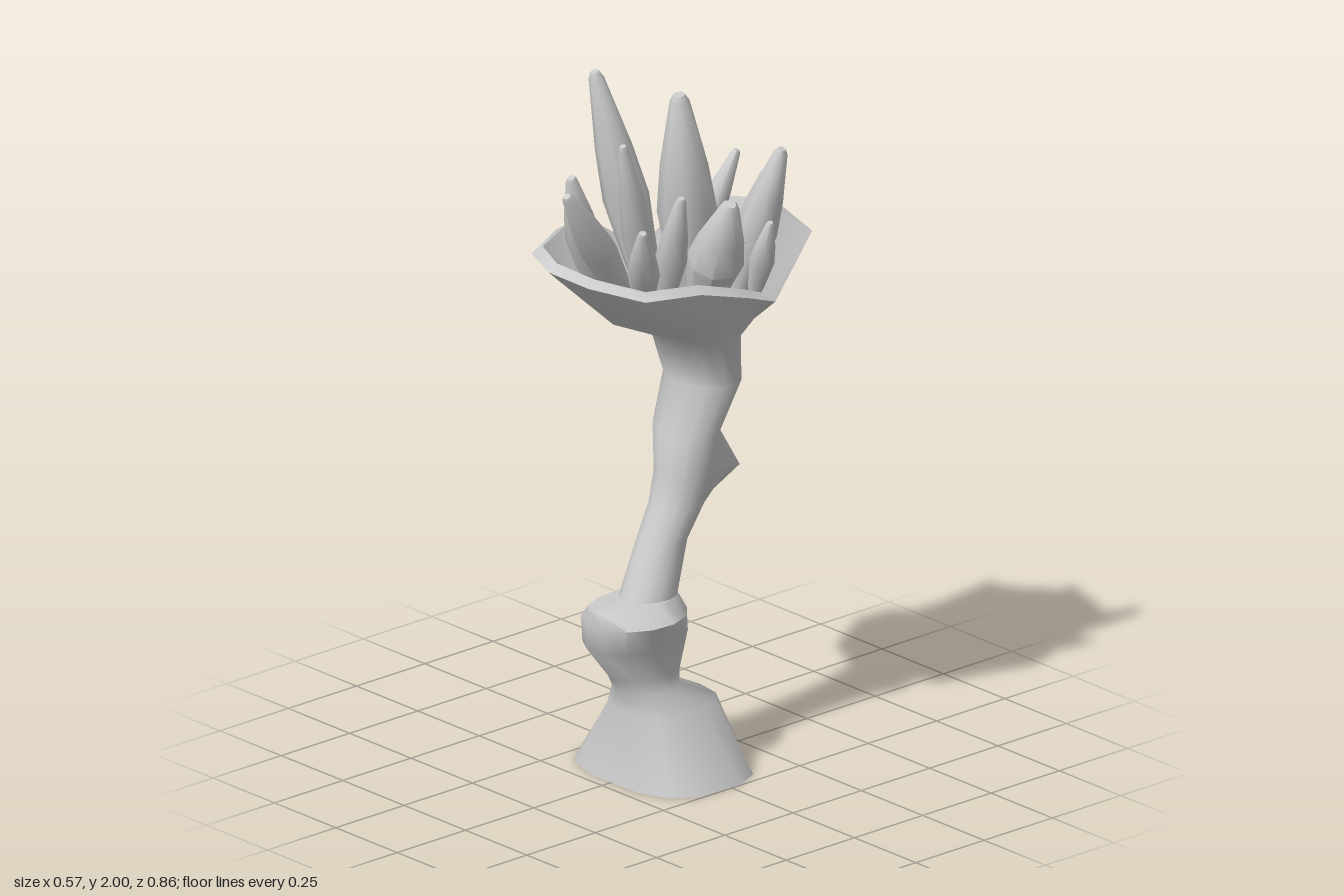
import * as THREE from 'three';
import { toCreasedNormals } from 'three/addons/utils/BufferGeometryUtils.js';

const SIDES = 13;
const material = new THREE.MeshStandardMaterial({ color: 0xcccccc, side: THREE.DoubleSide });

// Oval ring from its extents: height, x range, z range, roundness (1 oval, less is squarer)
function oval([y, x0, x1, z0, z1, round = 1]) {
  const bend = (v) => Math.sign(v) * Math.abs(v) ** round;
  return Array.from({ length: SIDES }, (_, i) => {
    const a = (i / SIDES) * Math.PI * 2 - 0.17;
    return [
      (x0 + x1) / 2 + bend(Math.cos(a)) * (x1 - x0) / 2,
      y,
      (z0 + z1) / 2 + bend(Math.sin(a)) * (z1 - z0) / 2,
    ];
  });
}

// Skin a stack of rings, bottom to top
function loft(rings) {
  const index = [];
  for (let r = 0; r < rings.length - 1; r++) {
    for (let i = 0; i < SIDES; i++) {
      const a = r * SIDES + i, b = r * SIDES + (i + 1) % SIDES;
      index.push(a, a + SIDES, b + SIDES, a, b + SIDES, b);
    }
  }
  const g = new THREE.BufferGeometry();
  g.setAttribute('position', new THREE.Float32BufferAttribute(rings.flat(2), 3));
  g.setIndex(index);
  return toCreasedNormals(g, 1.1);
}

function add(parent, name, geometry) {
  const mesh = new THREE.Mesh(geometry, material);
  mesh.name = name;
  parent.add(mesh);
  return mesh;
}

// Blunt shard leaning from its base to its tip
function addCrystal(parent, [bx, by, bz, tx, ty, tz, r]) {
  const base = new THREE.Vector3(bx, by, bz);
  const dir = new THREE.Vector3(tx, ty, tz).sub(base);
  const h = dir.length();
  const profile = [[0, 0], [0.6, 0], [1, 0.42], [0.8, 0.65], [0.33, 0.97], [0.2, 1], [0, 1]]
    .map(([x, y]) => new THREE.Vector2(x * r, y * h));
  const mesh = add(parent, 'crystal', toCreasedNormals(new THREE.LatheGeometry(profile, 8), 0.85));
  mesh.position.copy(base);
  mesh.quaternion.setFromUnitVectors(new THREE.Vector3(0, 1, 0), dir.normalize());
}

export function createModel() {
  const model = new THREE.Group();
  model.name = 'crystalPlant';

  // Spreading open foot, front knot with a flat ledge, and crooked stem
  const stem = [
    [0, -0.25, 0.25, -0.17, 0.22, 0.7],
    [0.2, -0.125, 0.135, -0.115, 0.18, 0.8],
    [0.26, -0.085, 0.1, 0.0, 0.19],
    [0.3, -0.085, 0.09, -0.01, 0.21],
    [0.4, -0.125, 0.12, -0.035, 0.285],
    [0.48, -0.12, 0.15, -0.01, 0.3],
    [0.52, -0.07, 0.09, 0.0, 0.295],
    [0.52, -0.07, 0.08, 0.0, 0.17],
    [0.67, -0.07, 0.07, -0.04, 0.1],
    [0.76, -0.075, 0.075, -0.1, 0.055],
    [0.85, -0.085, 0.085, -0.125, 0.03],
    [0.97, -0.11, 0.105, -0.14, 0.02],
    [1.1, -0.14, 0.115, -0.215, -0.04],
    [1.24, -0.165, 0.14, -0.2, 0.0],
  ].map(oval);

  // Pull a pointed knob out of the back of the stem
  const knobRing = stem[10];
  knobRing[10] = [0.01, 0.85, -0.145];
  knobRing[11] = [0.06, 0.84, -0.2];
  knobRing[12] = [0.105, 0.87, -0.12];

  // Two-lipped cup, notched at both sides
  const rim = [
    [0.28, 1.43, -0.04], [0.25, 1.47, 0.11], [0.21, 1.48, 0.28], [0.07, 1.5, 0.36],
    [-0.04, 1.53, 0.41], [-0.175, 1.53, 0.35], [-0.285, 1.52, 0.16], [-0.28, 1.5, 0.05],
    [-0.245, 1.4, -0.1], [-0.22, 1.51, -0.29], [-0.04, 1.51, -0.435], [0.15, 1.5, -0.385],
    [0.25, 1.38, -0.16],
  ];
  const isBack = (i) => i >= 9 && i <= 11;
  const under = rim.map(([x, , z], i) => isBack(i)
    ? [x * 0.72, 1.36, -0.12 + (z + 0.1) * 0.37]
    : [x * 0.77, 1.32, -0.1 + (z + 0.1) * 0.55]);
  const crest = rim.map(([x, y, z], i) => isBack(i)
    ? [x * 0.75, y + 0.05, z * 0.76]
    : [x * 0.9, y + 0.02, z * 0.93]);
  const inner = rim.map(([x, y, z], i) => isBack(i)
    ? [x * 0.62, 1.42, z * 0.64]
    : [x * 0.7, y - 0.06, z * 0.74]);
  const floor = rim.map(([x, , z]) => [x * 0.4, 1.37, -0.05 + z * 0.35]);
  const middle = rim.map(() => [0, 1.36, -0.05]);
  add(model, 'stemAndCup', loft([...stem, under, rim, crest, inner, floor, middle]));

  // Crystals: base, tip, widest radius
  const crystals = new THREE.Group();
  crystals.name = 'crystals';
  [
    [-0.1, 1.36, -0.01, -0.18, 2.0, 0.115, 0.065],
    [-0.02, 1.34, -0.1, 0.025, 1.96, -0.01, 0.083],
    [-0.03, 1.36, 0.05, 0.04, 1.87, 0.21, 0.045],
    [-0.02, 1.42, 0.16, 0.045, 1.78, 0.42, 0.052],
    [-0.13, 1.42, 0.17, -0.07, 1.77, 0.3, 0.05],
    [0.06, 1.4, 0.15, 0.2, 1.68, 0.28, 0.045],
    [0.06, 1.38, 0.08, 0.19, 1.74, 0.13, 0.045],
    [0.07, 1.36, -0.06, 0.235, 1.7, -0.01, 0.08],
    [0.08, 1.36, -0.17, 0.21, 1.8, -0.22, 0.06],
    [0.18, 1.4, -0.15, 0.275, 1.63, -0.12, 0.035],
    [-0.1, 1.38, -0.15, -0.04, 1.71, -0.28, 0.04],
    [0.0, 1.42, -0.24, 0.05, 1.67, -0.3, 0.03],
  ].forEach((c) => addCrystal(crystals, c));
  model.add(crystals);

  return model;
}
